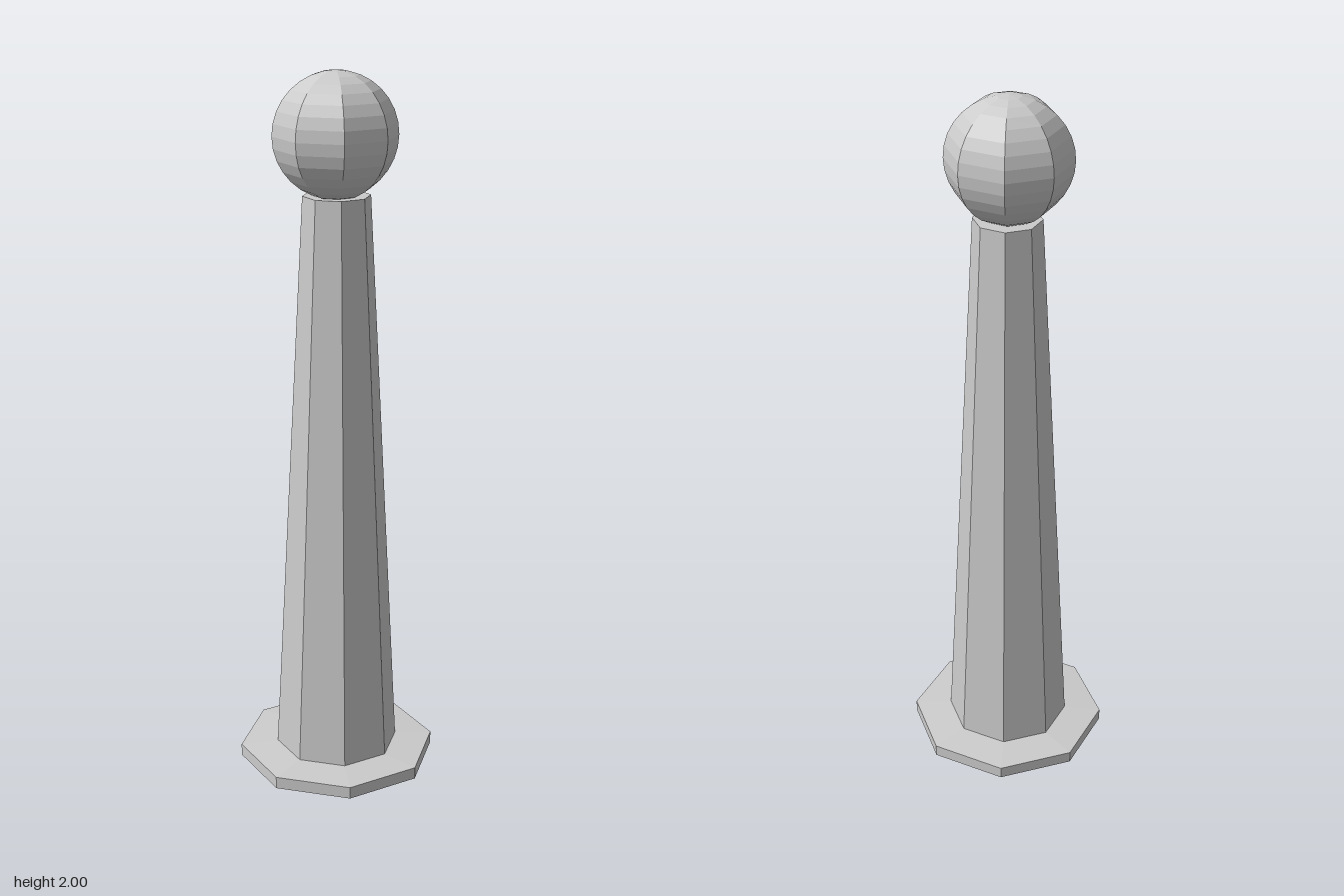
import * as THREE from 'three';

const SIDES = 8;

export function createModel() {
  const group = new THREE.Group();
  const material = new THREE.MeshStandardMaterial({ color: 0xcccccc, flatShading: true });

  function addPart(name, geometry, x, y, z) {
    const mesh = new THREE.Mesh(geometry, material);
    mesh.name = name;
    mesh.position.set(x, y, z);
    group.add(mesh);
  }

  // Octagonal foot plate with a very slightly sloping top
  const plateProfile = [[0, 0], [0.285, 0], [0.285, 0.035], [0.17, 0.043], [0, 0.043]]
    .map(([r, y]) => new THREE.Vector2(r, y));
  addPart('basePlate', new THREE.LatheGeometry(plateProfile, SIDES), 0, 0, 0);

  // Tapering octagonal post
  const bottom = 0.04, top = 1.67;
  addPart('post', new THREE.CylinderGeometry(0.093, 0.177, top - bottom, SIDES),
    0, (top + bottom) / 2, 0);

  // Eight-sided ball finial, set a touch off centre
  addPart('ballFinial', new THREE.SphereGeometry(0.17, SIDES, 16), -0.007, 1.83, 0.002);

  return group;
}
